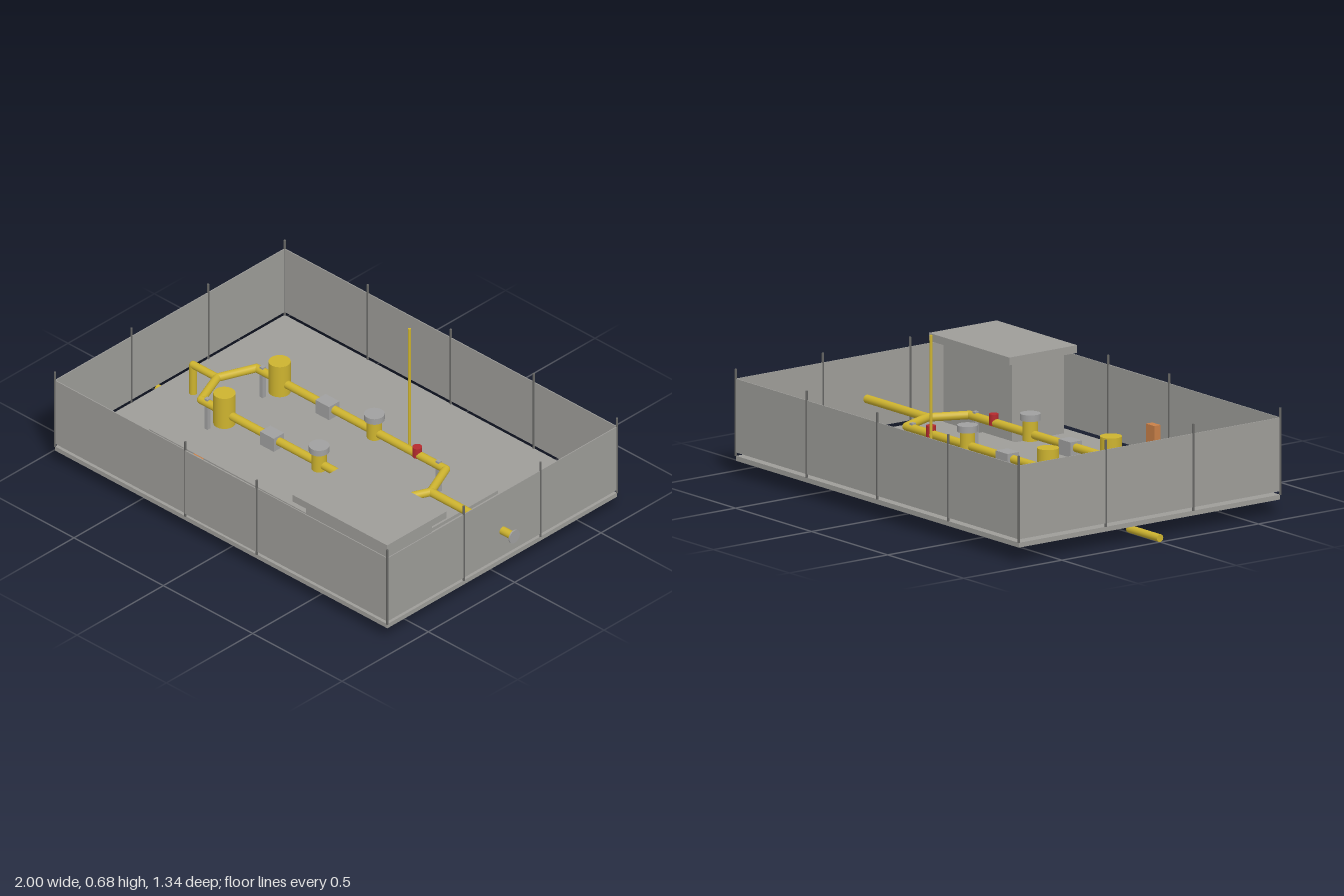
import * as THREE from 'three';

const mat = (name, color) => {
  const m = new THREE.MeshStandardMaterial({ color });
  m.name = name;
  return m;
};

export function createModel() {
  const root = new THREE.Group();
  root.name = 'pipelineStation';

  const concrete = mat('concreteGrey', 0x9e9d99);
  const steel = mat('steelGrey', 0xa0a0a0);
  const post = mat('postGrey', 0x666664);
  const yellow = mat('pipeYellow', 0xcdb32f);
  const red = mat('valveRed', 0xb52a2e);
  const orange = mat('cabinetOrange', 0xc88048);

  const add = (name, geo, material, x, y, z, parent = root) => {
    const m = new THREE.Mesh(geo, material);
    m.name = name;
    m.position.set(x, y, z);
    parent.add(m);
    return m;
  };
  // box and upright cylinder given by their bottom and top heights
  const box = (name, material, x, z, w, d, y0, y1, parent) =>
    add(name, new THREE.BoxGeometry(w, y1 - y0, d), material, x, (y0 + y1) / 2, z, parent);
  const drum = (name, material, x, z, r, y0, y1, parent, rTop = r) =>
    add(name, new THREE.CylinderGeometry(rTop, r, y1 - y0, 24), material, x, (y0 + y1) / 2, z, parent);
  // straight pipe runs with round joints
  const pipe = (name, r, points, parent = root) => {
    const pts = points.map((p) => new THREE.Vector3(...p));
    for (let i = 1; i < pts.length; i++) {
      const dir = pts[i].clone().sub(pts[i - 1]);
      const mid = pts[i].clone().add(pts[i - 1]).multiplyScalar(0.5);
      const m = add(name, new THREE.CylinderGeometry(r, r, dir.length(), 16), yellow, mid.x, mid.y, mid.z, parent);
      m.quaternion.setFromUnitVectors(new THREE.Vector3(0, 1, 0), dir.normalize());
      if (i < pts.length - 1)
        add(name + 'Joint', new THREE.SphereGeometry(r, 16, 10), yellow, pts[i].x, pts[i].y, pts[i].z, parent);
    }
  };

  // ground slab and equipment pad
  const X = 0.93, Z = 0.665;
  box('groundSlab', concrete, 0, 0, 2 * X, 2 * Z, 0.065, 0.085);
  box('equipmentPad', concrete, -0.07, 0, 1.32, 0.655, 0.085, 0.1);

  // fence panels and gate
  const fence = new THREE.Group();
  fence.name = 'fence';
  root.add(fence);
  const F0 = 0.1, F1 = 0.405, T = 0.004;
  box('backFence', concrete, 0, -Z, 2 * X, T, F0, F1, fence);
  for (const s of [-1, 1]) {
    box('sideFence', concrete, s * X, 0, T, 2 * Z, F0, F1, fence);
    box('frontFence', concrete, s * 0.565, Z, 0.73, T, F0, F1, fence);
  }
  box('gate', concrete, 0, Z + 0.002, 0.4, 0.006, F0, F1, fence);

  // fence posts
  const posts = [];
  for (const x of [-X, -0.465, 0, 0.465, X]) posts.push([x, -Z]);
  for (const x of [-X, -0.2, 0.2, X]) posts.push([x, Z]);
  for (const x of [-X, X]) posts.push([x, -0.222], [x, 0.222]);
  for (const [x, z] of posts)
    add('fencePost', new THREE.CylinderGeometry(0.005, 0.005, 0.36, 8), post, x, 0.265, z, fence);

  // control building
  box('buildingWalls', concrete, 0.648, 0.48, 0.45, 0.265, 0.085, 0.42);
  box('buildingRoof', concrete, 0.65, 0.478, 0.53, 0.345, 0.42, 0.452);

  // inlet and outlet
  const P = 0.222, R = 0.0175;
  pipe('inletPipe', 0.016, [[-1, 0.018, 0], [-0.8, 0.018, 0], [-0.8, P, 0], [-0.665, P, 0]]);
  pipe('outletPipe', R, [[0.53, P, 0], [0.997, P, 0]]);
  add('outletFlange', new THREE.CylinderGeometry(0.03, 0.03, 0.006, 24), steel, 0.997, P, 0).rotation.z = Math.PI / 2;
  for (const x of [-0.665, 0.53])
    add('pipeJunction', new THREE.SphereGeometry(R, 16, 10), yellow, x, P, 0);

  // two matching branch lines
  for (const s of [-1, 1]) {
    const line = new THREE.Group();
    line.name = s > 0 ? 'frontLine' : 'backLine';
    root.add(line);
    const z = s * 0.16;
    pipe('branchPipe', R, [[-0.665, P, 0], [-0.6, P, z], [0.46, P, z], [0.53, P, 0]], line);
    drum('filter', yellow, -0.47, z, 0.045, 0.17, 0.315, line);
    box('shutoffValve', steel, -0.203, z, 0.077, 0.06, 0.185, 0.248, line);
    drum('regulatorBody', yellow, 0.06, z, 0.031, 0.195, 0.28, line);
    drum('regulatorCap', steel, 0.06, z, 0.042, 0.28, 0.307, line);
    drum('reliefValve', red, 0.3, z, 0.02, 0.212, 0.258, line);
    for (const x of [-0.565, 0.42])
      box('pipeSupport', steel, x, z, 0.018, 0.018, 0.1, 0.245, line);
  }

  // vent mast and cabinet
  drum('ventMast', yellow, 0.128, -0.293, 0.006, 0.1, 0.685);
  box('cabinet', orange, -0.273, 0.528, 0.055, 0.032, 0.085, 0.27);

  return root;
}
